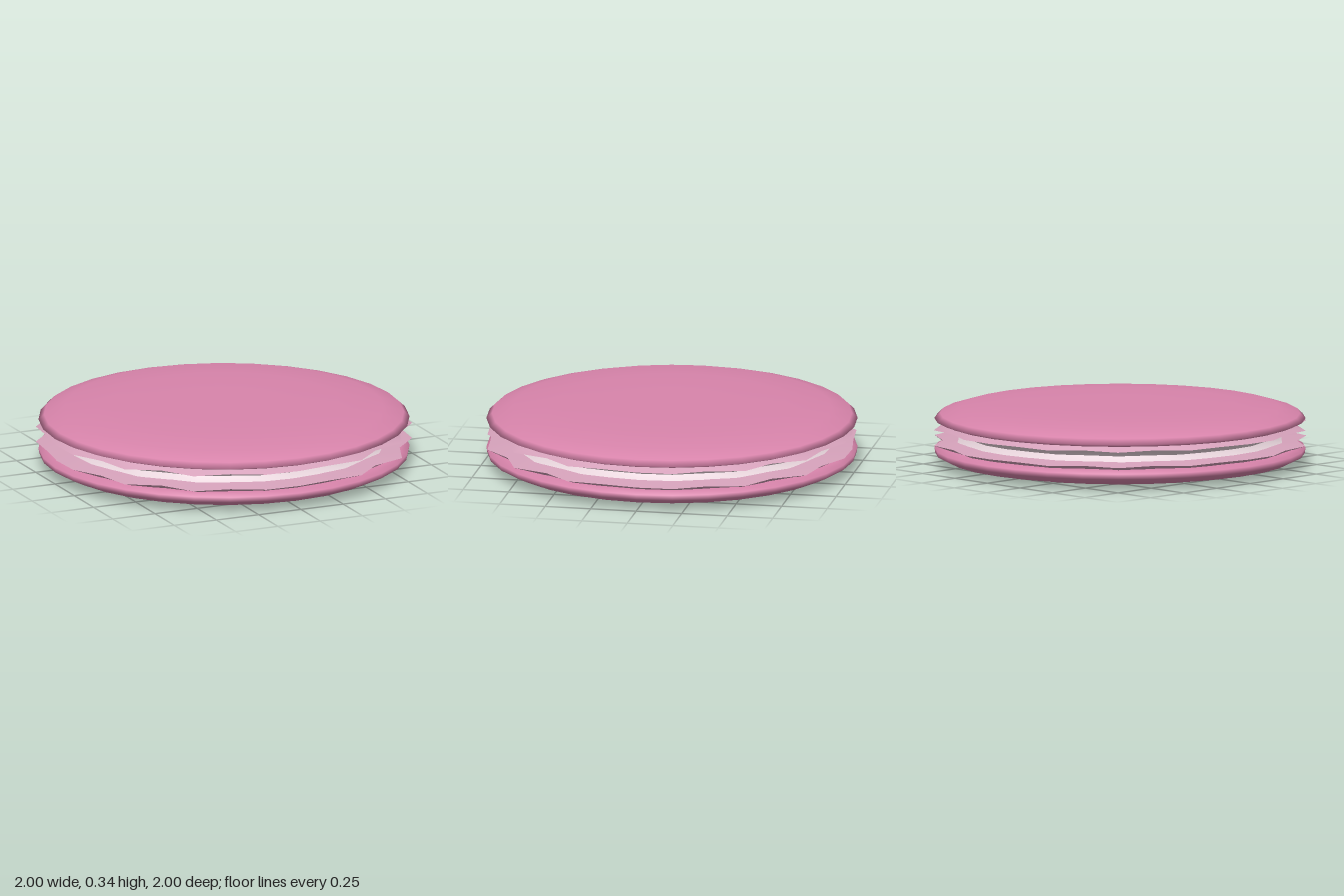
import * as THREE from 'three';
import { toCreasedNormals } from 'three/addons/utils/BufferGeometryUtils.js';

const SEGMENTS = 32;
const WAVES = 14;

const lathe = (profile) =>
  new THREE.LatheGeometry(profile.map(([r, y]) => new THREE.Vector2(r, y)), SEGMENTS);

// Push a ring in and out around its circumference; the rim moves most.
function ruffle(geometry, rimAmount, innerAmount) {
  const p = geometry.attributes.position;
  for (let i = 0; i < p.count; i++) {
    const x = p.getX(i), z = p.getZ(i);
    const r = Math.hypot(x, z);
    const amount = r > 0.97 ? rimAmount : innerAmount;
    const k = 1 + (amount * Math.sin(WAVES * Math.atan2(-z, x))) / r;
    p.setX(i, x * k);
    p.setZ(i, z * k);
  }
  return toCreasedNormals(geometry, 0.6);
}

export function createModel() {
  const group = new THREE.Group();
  const material = (name, color, side = THREE.FrontSide) =>
    Object.assign(new THREE.MeshStandardMaterial({ color, side }), { name });
  const shellPink = material('shell pink', 0xd884ab);
  const footPink = material('foot pale pink', 0xd6a2bb, THREE.DoubleSide);
  const cream = material('filling cream', 0xe8d5dc, THREE.DoubleSide);

  const add = (name, geometry, mat) => {
    const mesh = new THREE.Mesh(geometry, mat);
    mesh.name = name;
    group.add(mesh);
  };

  // Biscuit shells, smooth domes with a tucked-in rim
  add('lowerShell', lathe([
    [0, 0], [0.6, 0.002], [0.8, 0.008], [0.93, 0.03], [0.995, 0.062],
    [1, 0.092], [0.955, 0.11], [0.8, 0.112], [0, 0.112],
  ]), shellPink);
  add('upperShell', lathe([
    [0, 0.233], [0.8, 0.233], [0.955, 0.235], [1, 0.252], [0.97, 0.28],
    [0.86, 0.312], [0.62, 0.331], [0.3, 0.335], [0, 0.335],
  ]), shellPink);

  // Ruffled feet along the inner edge of each shell
  add('lowerFoot', ruffle(lathe([[0.94, 0.106], [0.99, 0.129], [0.86, 0.144]]), 0.034, 0.012), footPink);
  add('upperFoot', ruffle(lathe([[0.86, 0.197], [0.99, 0.213], [0.94, 0.238]]), 0.034, 0.012), footPink);

  // Filling with a concave edge
  add('filling', ruffle(lathe([
    [0.9, 0.13], [0.875, 0.145], [0.855, 0.17], [0.875, 0.196], [0.9, 0.212],
  ]), 0.012, 0.012), cream);

  return group;
}
